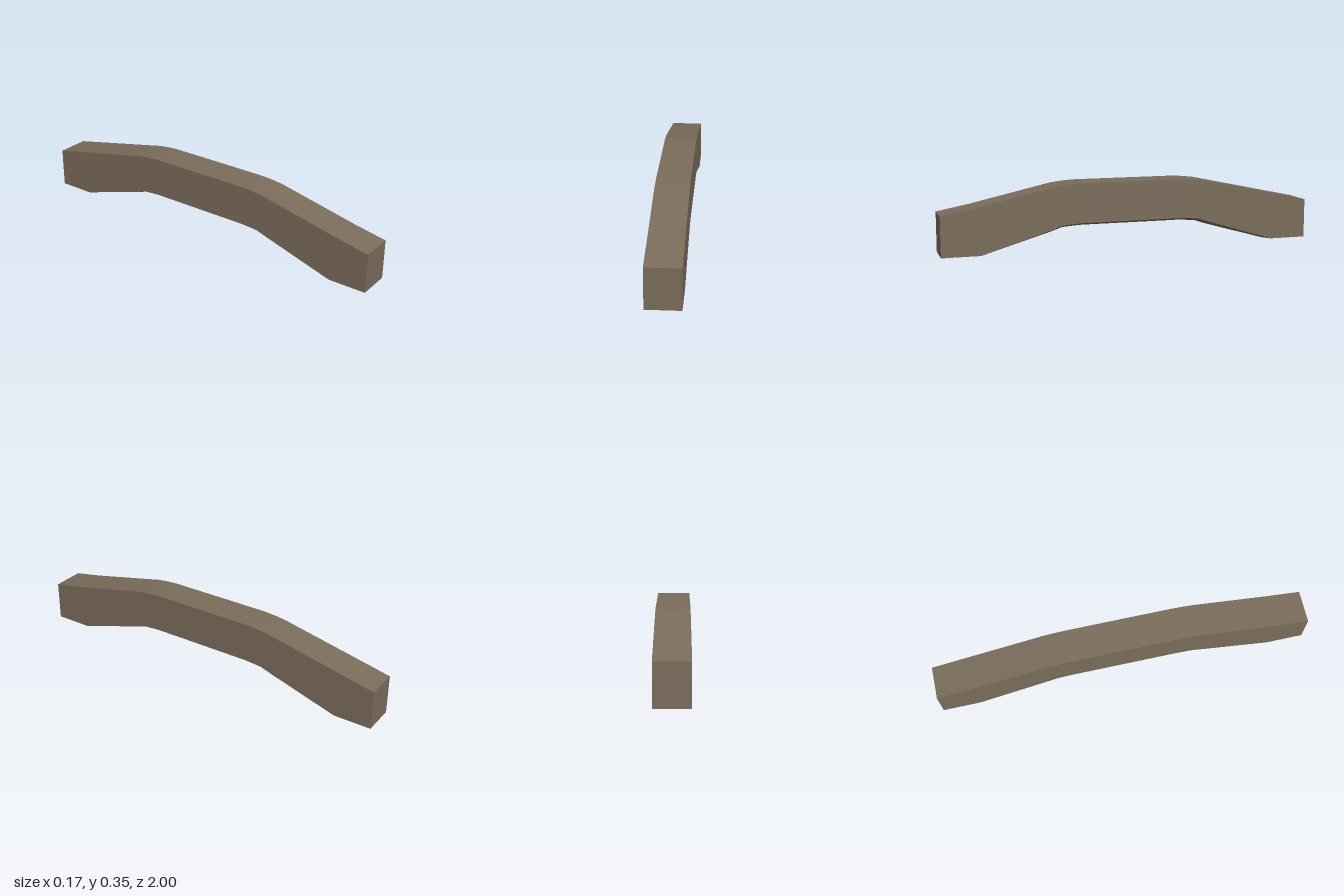
import * as THREE from 'three';
import { toCreasedNormals } from 'three/addons/utils/BufferGeometryUtils.js';

const HALF_WIDTH = 0.087;
const BELLY_STEPS = 12;

// Half of the arched outline: [z of top, y of top, z of underside, y of underside]
const half = [
  [1, 0.21, 1, 0],
  [0.83, 0.246, 0.8, 0],
  [0.4, 0.337, 0.44, 0.11],
  [0.34, 0.344, 0.37, 0.133],
  [0.28, 0.348, 0.28, 0.14],
];

function beamGeometry() {
  const mirrored = half.map(([zt, yt, zb, yb]) => [-zt, yt, -zb, yb]).reverse();
  const stations = [...half, ...mirrored];
  stations[1] = [0.83, 0.242, 0.8, 0]; // slight kink near the front end only
  const positions = [];
  const indices = [];
  const n = BELLY_STEPS + 3; // points per cross-section

  // Cross-sections: two top corners, then the rounded underside
  stations.forEach(([zt, yt, zb, yb], i) => {
    const fromEnd = Math.min(i, stations.length - 1 - i);
    positions.push(-HALF_WIDTH, yt, zt, HALF_WIDTH, yt, zt);
    for (let k = 0; k <= BELLY_STEPS; k++) {
      const u = 1 - (2 * k) / BELLY_STEPS;
      const bulge = 1 - u * u;
      const y = fromEnd > 1 ? yb - 0.02 * bulge : yb;
      const z = fromEnd === 1 ? zb - Math.sign(zb) * 0.04 * bulge : zb;
      positions.push(u * HALF_WIDTH, y, z);
    }
  });

  // Skin between neighbouring cross-sections
  for (let i = 0; i < stations.length - 1; i++) {
    for (let j = 0; j < n; j++) {
      const a = i * n + j;
      const b = i * n + ((j + 1) % n);
      indices.push(a, b, b + n, a, b + n, a + n);
    }
  }

  // Flat end faces
  const last = (stations.length - 1) * n;
  for (let j = 1; j < n - 1; j++) {
    indices.push(0, j + 1, j);
    indices.push(last, last + j, last + j + 1);
  }

  const geometry = new THREE.BufferGeometry();
  geometry.setAttribute('position', new THREE.Float32BufferAttribute(positions, 3));
  geometry.setIndex(indices);
  return toCreasedNormals(geometry, 0.26);
}

export function createModel() {
  const group = new THREE.Group();
  group.name = 'archedBeam';
  const wood = new THREE.MeshStandardMaterial({ color: 0x7a6c5a });
  wood.name = 'weatheredBrown';
  const beam = new THREE.Mesh(beamGeometry(), wood);
  beam.name = 'beam';
  group.add(beam);
  return group;
}
